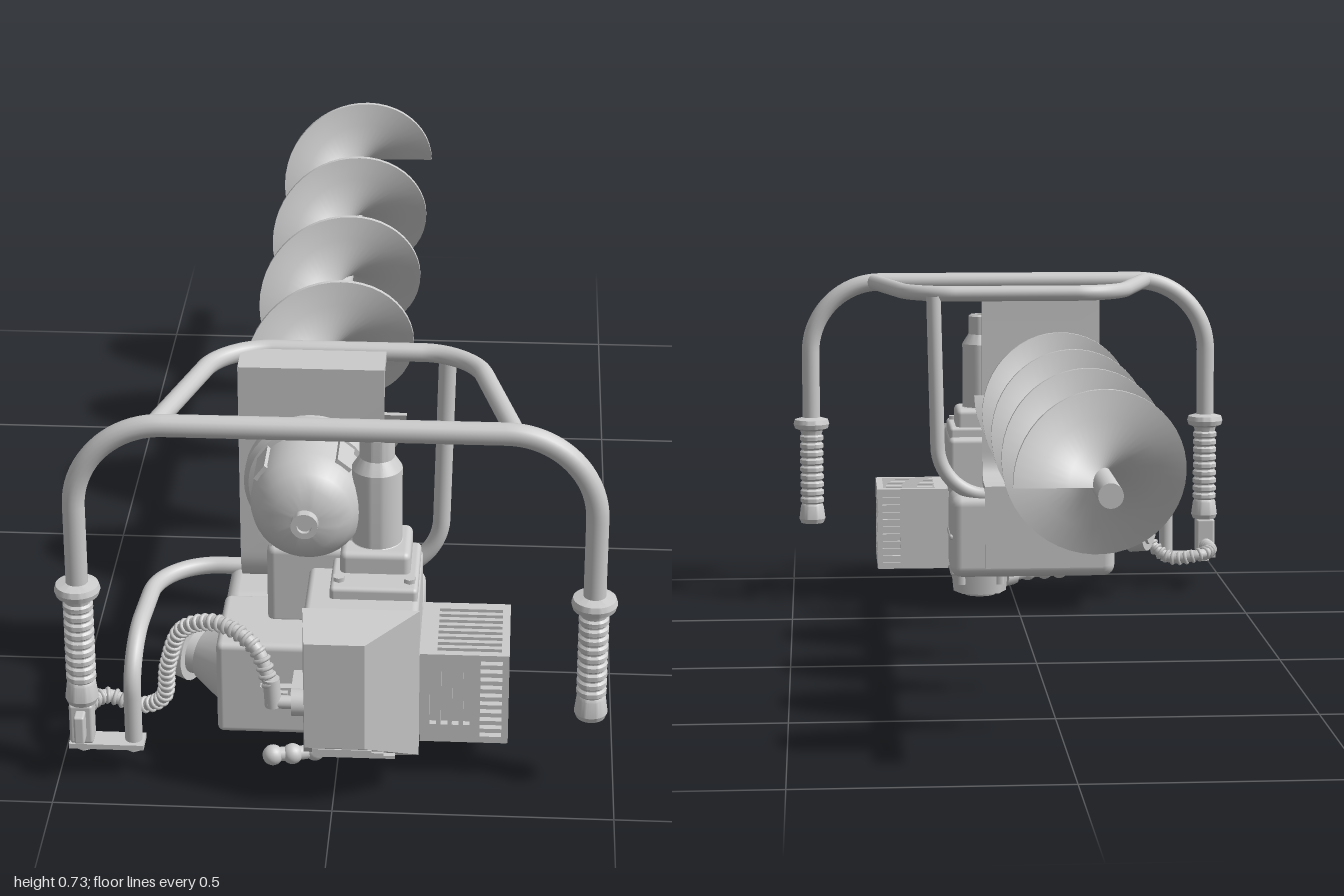
import * as THREE from 'three';
import { toCreasedNormals } from 'three/addons/utils/BufferGeometryUtils.js';
import { RoundedBoxGeometry } from 'three/addons/geometries/RoundedBoxGeometry.js';

const V = (x, y, z) => new THREE.Vector3(x, y, z);

export function createModel() {
  const root = new THREE.Group();
  const mat = new THREE.MeshStandardMaterial({ color: 0xcccccc });
  const matDouble = new THREE.MeshStandardMaterial({ color: 0xcccccc, side: THREE.DoubleSide });

  const add = (name, geo, x = 0, y = 0, z = 0, m = mat) => {
    const mesh = new THREE.Mesh(geo, m);
    mesh.name = name;
    mesh.position.set(x, y, z);
    root.add(mesh);
    return mesh;
  };
  // box given by its limits; r > 0 rounds the edges
  const box = (name, x0, x1, y0, y1, z0, z1, r = 0) => add(name,
    r ? new RoundedBoxGeometry(x1 - x0, y1 - y0, z1 - z0, 3, r) : new THREE.BoxGeometry(x1 - x0, y1 - y0, z1 - z0),
    (x0 + x1) / 2, (y0 + y1) / 2, (z0 + z1) / 2);
  // cylinder between two points
  const rod = (name, a, b, r0, r1 = r0, sides = 24) => {
    const d = b.clone().sub(a);
    const mesh = add(name, new THREE.CylinderGeometry(r1, r0, d.length(), sides));
    mesh.position.copy(a).addScaledVector(d, 0.5);
    mesh.quaternion.setFromUnitVectors(V(0, 1, 0), d.normalize());
    return mesh;
  };
  const lathe = (pts) => toCreasedNormals(
    new THREE.LatheGeometry(pts.map(([r, y]) => new THREE.Vector2(r, y)), 40), 0.5);
  // pipe through corner points, each corner rounded by distance r
  const pipe = (name, pts, radius, r) => {
    const path = new THREE.CurvePath();
    let last = pts[0];
    for (let i = 1; i < pts.length - 1; i++) {
      const p = pts[i];
      const toward = (q) => p.clone().add(q.clone().sub(p).setLength(Math.min(r, q.distanceTo(p) * 0.48)));
      const a = toward(pts[i - 1]), b = toward(pts[i + 1]);
      path.add(new THREE.LineCurve3(last, a));
      path.add(new THREE.CubicBezierCurve3(a, a.clone().lerp(p, 0.55), b.clone().lerp(p, 0.55), b));
      last = b;
    }
    path.add(new THREE.LineCurve3(last, pts[pts.length - 1]));
    add(name, new THREE.TubeGeometry(path, 140, radius, 16));
  };
  // panel from (0,0) to (w,h) with rectangular slots [x, y, w, h]
  const slotPanel = (w, h, depth, slots) => {
    const rect = (s, x, y, a, b) => s.moveTo(x, y).lineTo(x + a, y).lineTo(x + a, y + b).lineTo(x, y + b).closePath();
    const shape = rect(new THREE.Shape(), 0, 0, w, h);
    for (const s of slots) shape.holes.push(rect(new THREE.Path(), ...s));
    return new THREE.ExtrudeGeometry(shape, { depth, bevelEnabled: false });
  };
  const range = (n, f) => Array.from({ length: n }, (_, i) => f(i));

  // Auger: shaft and four-turn screw blade
  const AX = -0.055, AY = 0.5;
  rod('augerShaft', V(AX, AY, -1), V(AX, AY, 0.7), 0.022);
  const blade = new THREE.BoxGeometry(1, 1, 1, 192, 3, 1);
  const bp = blade.attributes.position;
  for (let i = 0; i < bp.count; i++) {
    const t = bp.getX(i) + 0.5, k = bp.getY(i) + 0.5;
    const r = 0.015 + 0.145 * k, a = -t * Math.PI * 8;
    bp.setXYZ(i, r * Math.cos(a), r * Math.sin(a), 0.412 - 1.31 * t + bp.getZ(i) * (0.02 - 0.01 * k));
  }
  blade.computeVertexNormals();
  add('augerBlade', blade, AX, AY, 0);

  // Handlebar and frame pipes
  pipe('handlebar', [V(-0.455, 0.16, 0.895), V(-0.455, 0.705, 0.895), V(0.455, 0.705, 0.895), V(0.455, 0.16, 0.895)], 0.02, 0.16);
  pipe('upperFrame', [V(-0.31, 0.705, 0.89), V(-0.22, 0.705, 0.575), V(0.23, 0.705, 0.575), V(0.31, 0.705, 0.89)], 0.017, 0.09);
  pipe('lowerFrame', [V(0.185, 0.7, 0.575), V(0.175, 0.258, 0.578), V(-0.345, 0.258, 0.578),
    V(-0.365, 0.258, 0.89), V(-0.365, 0.065, 0.89)], 0.016, 0.11);

  // Ribbed grips with collars
  for (const s of [-1, 1]) {
    const pts = [[0, 0.15], [0.026, 0.15], [0.03, 0.16], [0.026, 0.19]];
    for (let i = 0; i < 9; i++) {
      const y = 0.195 + i * 0.018;
      pts.push([0.023, y], [0.027, y + 0.004], [0.027, y + 0.012], [0.023, y + 0.016]);
    }
    pts.push([0.026, 0.365], [0.038, 0.37], [0.041, 0.38], [0.038, 0.39], [0.02, 0.395]);
    add(s < 0 ? 'rightGrip' : 'leftGrip', lathe(pts), s * 0.455, 0, 0.895);
  }

  // Throttle block and bracket under the right grip
  box('throttleBlock', -0.478, -0.435, 0.07, 0.15, 0.875, 0.915, 0.006);
  box('throttleLever', -0.466, -0.447, 0.085, 0.14, 0.905, 0.94, 0.004);
  box('throttleBracket', -0.48, -0.345, 0.06, 0.07, 0.87, 0.915);
  for (const x of [-0.455, -0.365]) rod('bracketBolt', V(x, 0.05, 0.893), V(x, 0.065, 0.893), 0.013, 0.013, 6);

  // Corrugated cable hose
  const hose = new THREE.CatmullRomCurve3([V(-0.455, 0.09, 0.88), V(-0.458, 0.088, 0.81), V(-0.43, 0.085, 0.77),
    V(-0.365, 0.076, 0.785), V(-0.32, 0.11, 0.81), V(-0.305, 0.2, 0.84), V(-0.272, 0.29, 0.87),
    V(-0.2, 0.325, 0.91), V(-0.135, 0.3, 0.95), V(-0.11, 0.24, 0.965)]);
  add('hose', new THREE.TubeGeometry(hose, 100, 0.012, 12));
  for (let i = 0; i < 46; i++) {
    const ring = add('hoseRing', new THREE.TorusGeometry(0.012, 0.0045, 6, 14));
    ring.position.copy(hose.getPointAt(i / 45));
    ring.quaternion.setFromUnitVectors(V(0, 0, 1), hose.getTangentAt(i / 45));
  }
  rod('hoseConnector', V(-0.108, 0.25, 0.965), V(-0.105, 0.195, 0.965), 0.015);
  rod('hoseElbow', V(-0.115, 0.202, 0.965), V(-0.06, 0.202, 0.965), 0.012);
  rod('hoseNut', V(-0.072, 0.202, 0.965), V(-0.045, 0.202, 0.965), 0.024);
  box('connectorBracket', -0.075, -0.04, 0.19, 0.214, 0.87, 0.96);
  box('cableClamp', -0.135, -0.067, 0.157, 0.185, 0.865, 0.89);
  box('cableClampTab', -0.118, -0.085, 0.162, 0.18, 0.885, 0.9);

  // Bent mounting sheet: top flange, web, curve back over the tank, rear plate
  const sheet = new THREE.Shape();
  sheet.moveTo(0.575, 0.712).lineTo(0.67, 0.712).lineTo(0.67, 0.34)
    .quadraticCurveTo(0.67, 0.27, 0.61, 0.27).lineTo(0.552, 0.27).lineTo(0.552, 0.1)
    .lineTo(0.538, 0.1).lineTo(0.538, 0.283).lineTo(0.6, 0.283)
    .quadraticCurveTo(0.655, 0.283, 0.655, 0.345).lineTo(0.655, 0.697).lineTo(0.575, 0.697).closePath();
  const sheetGeo = new THREE.ExtrudeGeometry(sheet, { depth: 0.262, bevelEnabled: false, curveSegments: 10 });
  sheetGeo.rotateY(-Math.PI / 2);
  add('mountingSheet', toCreasedNormals(sheetGeo, 0.5), 0.075, 0, 0);

  // Gearbox bell, its axis along z
  const bell = lathe([[0, 0.66], [0.121, 0.66], [0.121, 0.7], [0.112, 0.708], [0.102, 0.71], [0.102, 0.78], [0.097, 0.8],
    [0.082, 0.825], [0.06, 0.843], [0.03, 0.85], [0.024, 0.851], [0.024, 0.868], [0.013, 0.868], [0.013, 0.86], [0, 0.86]]);
  add('gearboxBell', bell.rotateX(Math.PI / 2), AX, AY, 0, matDouble);
  for (const a of [0.9, 2.5, 3.9, 5.5]) {
    const lug = box('bellLug', -0.016, 0.016, -0.007, 0.007, 0.7, 0.785);
    lug.position.set(AX + 0.1 * Math.cos(a), AY + 0.1 * Math.sin(a), 0.745);
    lug.rotation.z = a + Math.PI / 2;
  }
  box('gearboxNeck', -0.13, 0.03, 0.25, 0.41, 0.67, 0.78, 0.015);

  // Upright stepped canister
  add('canister', lathe([[0, 0.38], [0.054, 0.38], [0.054, 0.425], [0.045, 0.433], [0.045, 0.575],
    [0.031, 0.597], [0.031, 0.637], [0.026, 0.641], [0.024, 0.62], [0, 0.62]]), 0.068, 0, 0.775, matDouble);
  box('canisterBase', 0.005, 0.13, 0.375, 0.432, 0.715, 0.835, 0.012);

  // Engine housing with bevelled nose
  box('engineBody', -0.053, 0.148, 0.075, 0.37, 0.69, 0.935, 0.012);
  box('engineTopPlate', -0.01, 0.145, 0.36, 0.392, 0.71, 0.89, 0.008);
  for (const x of [0.005, 0.13]) rod('topBolt', V(x, 0.385, 0.86), V(x, 0.4, 0.86), 0.011, 0.011, 6);
  const nose = new THREE.BoxGeometry(0.206, 0.295, 0.07);
  const np = nose.attributes.position;
  for (let i = 0; i < np.count; i++) if (np.getZ(i) > 0) {
    np.setX(i, np.getX(i) > 0 ? 0.01 : -0.096);
    np.setY(i, np.getY(i) > 0 ? 0.115 : -0.095);
  }
  nose.computeVertexNormals();
  add('noseCover', nose, 0.048, 0.226, 0.965);
  for (let i = 0; i < 3; i++) box('noseLouvre', -0.035, 0.07 + i * 0.02, 0.118 - i * 0.015, 0.124 - i * 0.015, 0.95, 0.993 - i * 0.016);

  // Slotted cylinder shroud on the left side
  box('shroudCore', 0.14, 0.298, 0.08, 0.245, 0.7, 0.865);
  const sideSlots = range(9, (i) => [0.014 + i * 0.0185, 0.03, 0.009, 0.085])
    .concat(range(9, (i) => [0.014 + i * 0.0185, 0.13, 0.009, 0.03]));
  const frontSlots = range(4, (i) => [0.018 + i * 0.02, 0.035, 0.012, 0.11])
    .concat(range(10, (i) => [0.108, 0.012 + i * 0.0165, 0.04, 0.009]));
  const topSlots = range(8, (i) => [0.03, 0.014 + i * 0.02, 0.115, 0.01]);
  add('shroudFront', slotPanel(0.157, 0.18, 0.014, frontSlots), 0.15, 0.076, 0.864);
  add('shroudRear', slotPanel(0.157, 0.18, 0.012, frontSlots.slice(4)), 0.15, 0.076, 0.692);
  add('shroudSide', slotPanel(0.185, 0.18, 0.012, sideSlots).rotateY(Math.PI / 2), 0.297, 0.076, 0.878);
  add('shroudTop', slotPanel(0.158, 0.185, 0.012, topSlots).rotateX(-Math.PI / 2), 0.15, 0.244, 0.878);
  box('shroudBottom', 0.15, 0.307, 0.075, 0.085, 0.692, 0.878);

  // Air filter side on the right, with angled intake
  box('filterHousing', -0.215, -0.04, 0.078, 0.262, 0.69, 0.875, 0.012);
  const dir = V(-1, 0, -0.45).normalize();
  const at = (d) => V(-0.2, 0.157, 0.755).addScaledVector(dir, d);
  rod('intakeCone', at(-0.02), at(0.055), 0.082, 0.046);
  rod('intakeNeck', at(0.05), at(0.085), 0.04);
  rod('intakeCap', at(0.075), at(0.115), 0.055, 0.05);
  rod('intakeCapTip', at(0.11), at(0.122), 0.035);
  rod('drainPlug', V(-0.185, 0.065, 0.76), V(-0.185, 0.09, 0.76), 0.013);

  // Fuel tank at the back
  box('fuelTank', -0.215, 0.15, 0.075, 0.26, 0.555, 0.7, 0.025);
  box('tankSeam', -0.218, 0.153, 0.16, 0.172, 0.565, 0.69, 0.005);

  // Underside: base plate, starter hub and outlet pipe
  box('basePlate', 0.0, 0.145, 0.055, 0.08, 0.7, 0.86, 0.006);
  rod('starterHub', V(0.075, 0.008, 0.775), V(0.075, 0.058, 0.775), 0.06, 0.065, 8);
  rod('starterCap', V(0.075, 0, 0.775), V(0.075, 0.012, 0.775), 0.035, 0.04);
  for (let i = 0; i < 4; i++) {
    const a = Math.PI / 4 + i * Math.PI / 2, x = 0.075 + 0.062 * Math.cos(a), z = 0.775 + 0.062 * Math.sin(a);
    rod('hubBolt', V(x, 0.03, z), V(x, 0.06, z), 0.01, 0.01, 6);
  }
  pipe('outletPipe', [V(0.03, 0.03, 0.8), V(-0.04, 0.033, 0.86), V(-0.115, 0.035, 0.875)], 0.013, 0.04);
  for (const [x, z] of [[-0.115, 0.875], [-0.08, 0.869], [-0.04, 0.855]])
    add('outletBead', new THREE.SphereGeometry(0.019, 20, 12), x, 0.034, z);
  rod('outletNut', V(-0.005, 0.031, 0.83), V(0.02, 0.03, 0.808), 0.021, 0.021, 8);

  return root;
}
